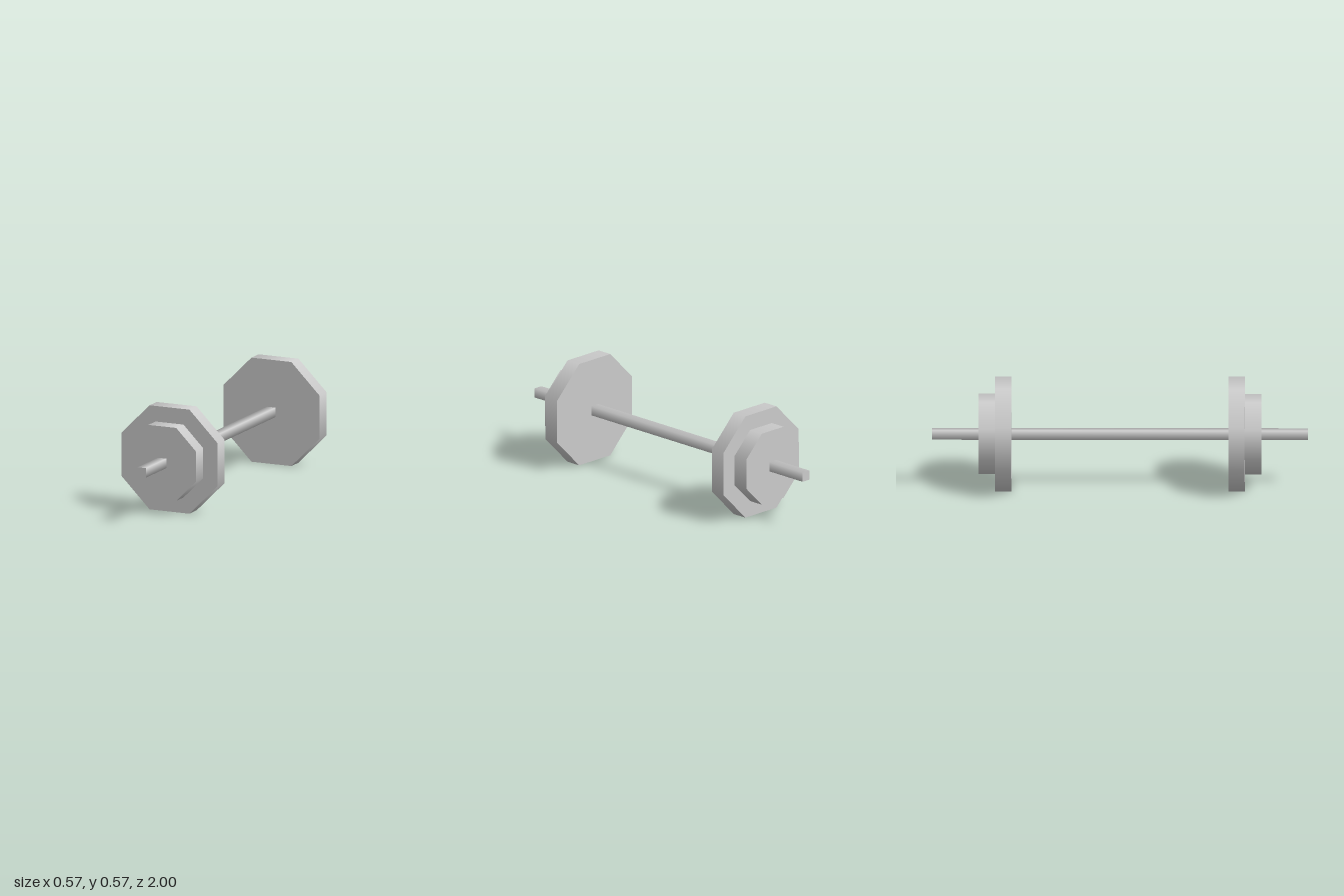
import * as THREE from 'three';

const AXIS_Y = 0.284;

// Smooth-sided prism lying along z with its flats facing up and sideways
function prism(name, halfWidth, sides, zMin, zMax, material) {
  const radius = halfWidth / Math.cos(Math.PI / sides);
  const geometry = new THREE.CylinderGeometry(radius, radius, zMax - zMin, sides, 1, false, Math.PI / sides);
  geometry.rotateX(Math.PI / 2);
  const mesh = new THREE.Mesh(geometry, material);
  mesh.name = name;
  mesh.position.set(0, AXIS_Y, (zMin + zMax) / 2);
  return mesh;
}

export function createModel() {
  const material = new THREE.MeshStandardMaterial({ color: 0xcccccc });
  const model = new THREE.Group();
  model.name = 'barbell';

  // Square bar running the full length
  model.add(prism('bar', 0.0255, 4, -1, 1, material));

  // Large inner and small outer octagonal plate at each end
  for (const [end, s] of [['front', 1], ['back', -1]]) {
    const plate = (name, halfWidth, a, b) =>
      prism(end + name, halfWidth, 8, Math.min(s * a, s * b), Math.max(s * a, s * b), material);
    const weights = new THREE.Group();
    weights.name = end + 'Weights';
    weights.add(plate('LargePlate', 0.284, 0.577, 0.664), plate('SmallPlate', 0.199, 0.664, 0.752));
    model.add(weights);
  }
  return model;
}
